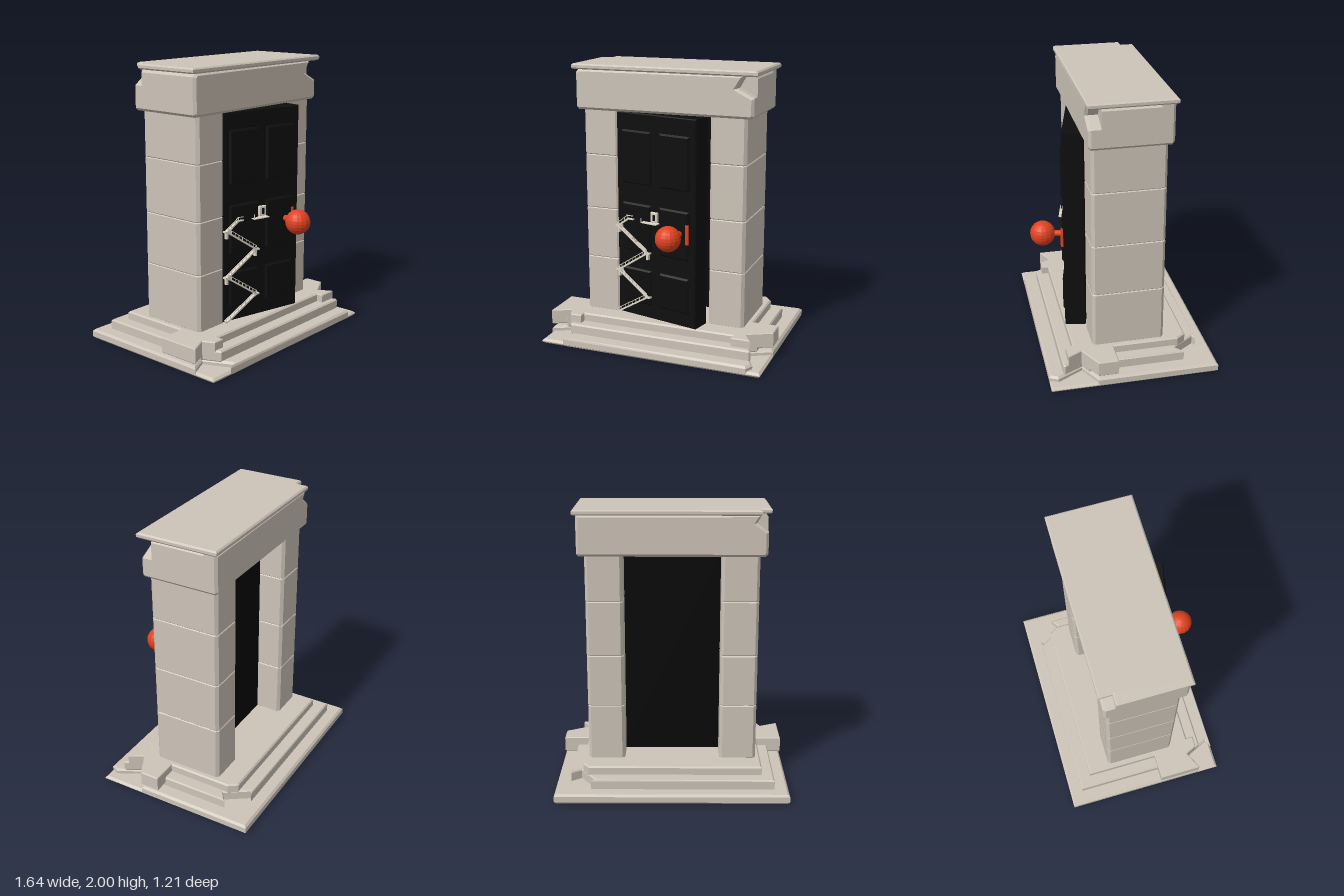
import * as THREE from 'three';

const material = (name, color) => {
  const m = new THREE.MeshStandardMaterial({ color });
  m.name = name;
  return m;
};

export function createModel() {
  const root = new THREE.Group();
  const stone = material('stone', 0xcdc4b8);
  const paint = material('black paint', 0x0e0e0e);
  const dark = material('dark opening', 0x070707);
  const ivory = material('ivory metal', 0xddd5c6);
  const red = material('red knob', 0xe0421f);

  const add = (parent, name, geo, mat, x = 0, y = 0, z = 0) => {
    const mesh = new THREE.Mesh(geo, mat);
    mesh.name = name;
    mesh.position.set(x, y, z);
    parent.add(mesh);
    return mesh;
  };

  // Outline extruded from a to b with chamfered edges kept inside the outline
  const extrude = (pts, a, b, bevel) => {
    const shape = new THREE.Shape(pts.map(([x, y]) => new THREE.Vector2(x, y)));
    return new THREE.ExtrudeGeometry(shape, {
      depth: b - a - 2 * bevel, bevelEnabled: bevel > 0, bevelThickness: bevel,
      bevelSize: bevel, bevelOffset: -bevel, bevelSegments: 1,
    }).translate(0, 0, a + bevel);
  };
  // Plan outline of [x, z] points raised from y0 to y1
  const slab = (parent, name, pts, y0, y1, bevel, mat = stone) =>
    add(parent, name, extrude(pts.map(([x, z]) => [x, -z]), y0, y1, bevel).rotateX(-Math.PI / 2), mat);
  const rect = (x0, x1, z0, z1) => [[x0, z0], [x1, z0], [x1, z1], [x0, z1]];
  // Chamfered block, given by its limits
  const block = (parent, name, x0, x1, y0, y1, z0, z1, bevel, mat) =>
    add(parent, name, extrude(rect(x0, x1, y0, y1), z0, z1, bevel), mat);

  // Stepped base with broken corners
  const steps = new THREE.Group();
  steps.name = 'steps';
  root.add(steps);
  slab(steps, 'baseFoot', rect(-0.82, 0.82, -0.605, 0.58), 0, 0.035, 0.015);
  slab(steps, 'baseStep', [
    [-0.82, -0.605], [0.82, -0.605], [0.82, 0.25], [0.65, 0.34], [0.75, 0.52],
    [0.72, 0.58], [-0.65, 0.58], [-0.6, 0.55], [-0.69, 0.36], [-0.82, 0.42],
  ], 0.005, 0.07, 0.015);
  slab(steps, 'middleStep', [
    [-0.72, -0.51], [0.567, -0.51], [0.54, -0.49], [0.65, -0.33], [0.72, -0.38],
    [0.72, 0.303], [0.65, 0.34], [0.72, 0.466], [0.71, 0.48], [-0.633, 0.48],
    [-0.69, 0.36], [-0.72, 0.374],
  ], 0.06, 0.14, 0.01);
  slab(steps, 'topStep', [
    [-0.635, -0.42], [0.588, -0.42], [0.635, -0.355], [0.635, 0.39], [-0.635, 0.39],
  ], 0.125, 0.2, 0.01);
  slab(steps, 'rightWing', [
    [-0.82, 0.11], [-0.57, 0.11], [-0.57, 0.44], [-0.652, 0.44], [-0.69, 0.36], [-0.82, 0.42],
  ], 0.09, 0.2, 0.006);
  slab(steps, 'leftWing', [
    [0.57, 0.11], [0.82, 0.11], [0.82, 0.25], [0.65, 0.34], [0.706, 0.44], [0.57, 0.44],
  ], 0.09, 0.2, 0.006);

  // Pillars of four stacked stones, the edges meeting in fine grooves
  const courses = [0.195, 0.6, 0.97, 1.36, 1.685];
  for (const side of [-1, 1]) {
    const pillar = new THREE.Group();
    pillar.name = side < 0 ? 'rightPillar' : 'leftPillar';
    root.add(pillar);
    const c = 0.02;
    const plan = [
      [0.34 + c, -0.26], [0.6 - c, -0.26], [0.6, -0.26 + c], [0.6, 0.25 - c],
      [0.6 - c, 0.25], [0.34 + c, 0.25], [0.34, 0.25 - c], [0.34, -0.26 + c],
    ].map(([x, z]) => [x * side, z]);
    for (let i = 0; i < 4; i++) slab(pillar, 'pillarStone', plan, courses[i], courses[i + 1], 0.006);
  }

  // Lintel in three slices so that two top corners can be broken off
  const lintel = new THREE.Group();
  lintel.name = 'lintel';
  root.add(lintel);
  const c = 0.018;
  const foot = [[-0.65, 1.68 + c], [-0.65 + c, 1.68], [0.65 - c, 1.68], [0.65, 1.68 + c]];
  const slice = (name, top, z0, z1, bevel) => add(lintel, name, extrude([...foot, ...top], z0, z1, bevel), stone);
  slice('lintelBack', [[0.65, 1.965], [-0.6, 1.965], [-0.57, 1.91], [-0.65, 1.85]], -0.29, -0.18, 0.018);
  slice('lintelCore', [[0.65, 1.94], [0.63, 1.965], [-0.63, 1.965], [-0.65, 1.94]], -0.21, 0.19, 0);
  slice('lintelFront', [[0.65, 1.82], [0.53, 1.88], [0.578, 1.965], [-0.63, 1.965], [-0.65, 1.94]], 0.15, 0.275, 0.018);
  slab(root, 'cap', [
    [-0.6, -0.305], [0.675, -0.305], [0.675, 0.285], [-0.675, 0.285], [-0.675, -0.215], [-0.6, -0.215],
  ], 1.962, 2, 0.01);

  // Dark panel closing the opening
  add(root, 'openingBack', new THREE.BoxGeometry(0.7, 1.485, 0.02), dark, 0, 0.9425, -0.06);

  // Door, ajar on its hinge side
  const door = new THREE.Group();
  door.name = 'door';
  door.position.set(-0.35, 0, 0.245);
  door.rotation.y = -THREE.MathUtils.degToRad(13);
  root.add(door);
  block(door, 'doorLeaf', 0, 0.66, 0.2, 1.68, -0.15, 0, 0.006, paint);
  for (const [y0, y1] of [[0.3, 0.56], [0.69, 1.04], [1.18, 1.56]])
    for (const [x0, x1] of [[0.05, 0.295], [0.365, 0.61]])
      block(door, 'doorPanel', x0, x1, y0, y1, -0.02, 0.015, 0.012, paint);

  // Round knob with stem and plate
  const ball = new THREE.SphereGeometry(0.089, 16, 12).toNonIndexed();
  ball.computeVertexNormals();
  add(door, 'knob', ball, red, 0.538, 0.88, 0.153);
  add(door, 'knobStem', new THREE.CylinderGeometry(0.022, 0.022, 0.11, 12).rotateX(Math.PI / 2), red, 0.538, 0.88, 0.055);
  block(door, 'knobPlate', 0.588, 0.612, 0.81, 0.95, 0, 0.022, 0.004, red);

  // Miniature zigzag stairs climbing the door
  const stairs = new THREE.Group();
  stairs.name = 'miniatureStairs';
  door.add(stairs);
  const bar = (name, x0, y0, x1, y1, t, z, d) => {
    const mesh = add(stairs, name, new THREE.BoxGeometry(Math.hypot(x1 - x0, y1 - y0), t, d), ivory,
      (x0 + x1) / 2, (y0 + y1) / 2, z);
    mesh.rotation.z = Math.atan2(y1 - y0, x1 - x0);
  };
  const turns = [[0.01, 0.205], [0.27, 0.365], [0.02, 0.53], [0.27, 0.695], [0.02, 0.86], [0.11, 0.925]];
  for (let i = 0; i < turns.length - 1; i++) {
    const [x0, y0] = turns[i], [x1, y1] = turns[i + 1];
    bar('flight', x0, y0, x1, y1, 0.012, 0.016, 0.034);
    bar('handrail', x0, y0 + 0.027, x1, y1 + 0.027, 0.005, 0.031, 0.005);
    const n = i < 4 ? 8 : 3;
    for (let k = 0; k <= n; k++) {
      const x = x0 + (x1 - x0) * k / n, y = y0 + (y1 - y0) * k / n;
      bar('railPost', x, y, x, y + 0.027, 0.004, 0.031, 0.004);
    }
    if (i > 0) bar('landing', x0 - 0.02, y0, x0 + 0.025, y0, 0.012, 0.016, 0.034);
    if (i > 1) bar('landingBracket', x0, y0 - 0.05, x0, y0, 0.016, 0.012, 0.024);
  }
  bar('upperLanding', 0.1, 0.925, 0.155, 0.925, 0.008, 0.016, 0.034);
  bar('upperRail', 0.1, 0.951, 0.155, 0.951, 0.005, 0.031, 0.005);

  // Small entrance with its ledge at the top of the stairs
  bar('ledge', 0.235, 0.922, 0.365, 0.922, 0.006, 0.026, 0.05);
  bar('ledgePost', 0.237, 0.922, 0.237, 0.955, 0.005, 0.045, 0.005);
  block(stairs, 'entranceFrame', 0.3, 0.356, 0.93, 1.0, 0, 0.024, 0.003, ivory);
  add(stairs, 'entranceOpening', new THREE.BoxGeometry(0.02, 0.042, 0.004), paint, 0.33, 0.964, 0.0245);

  return root;
}
